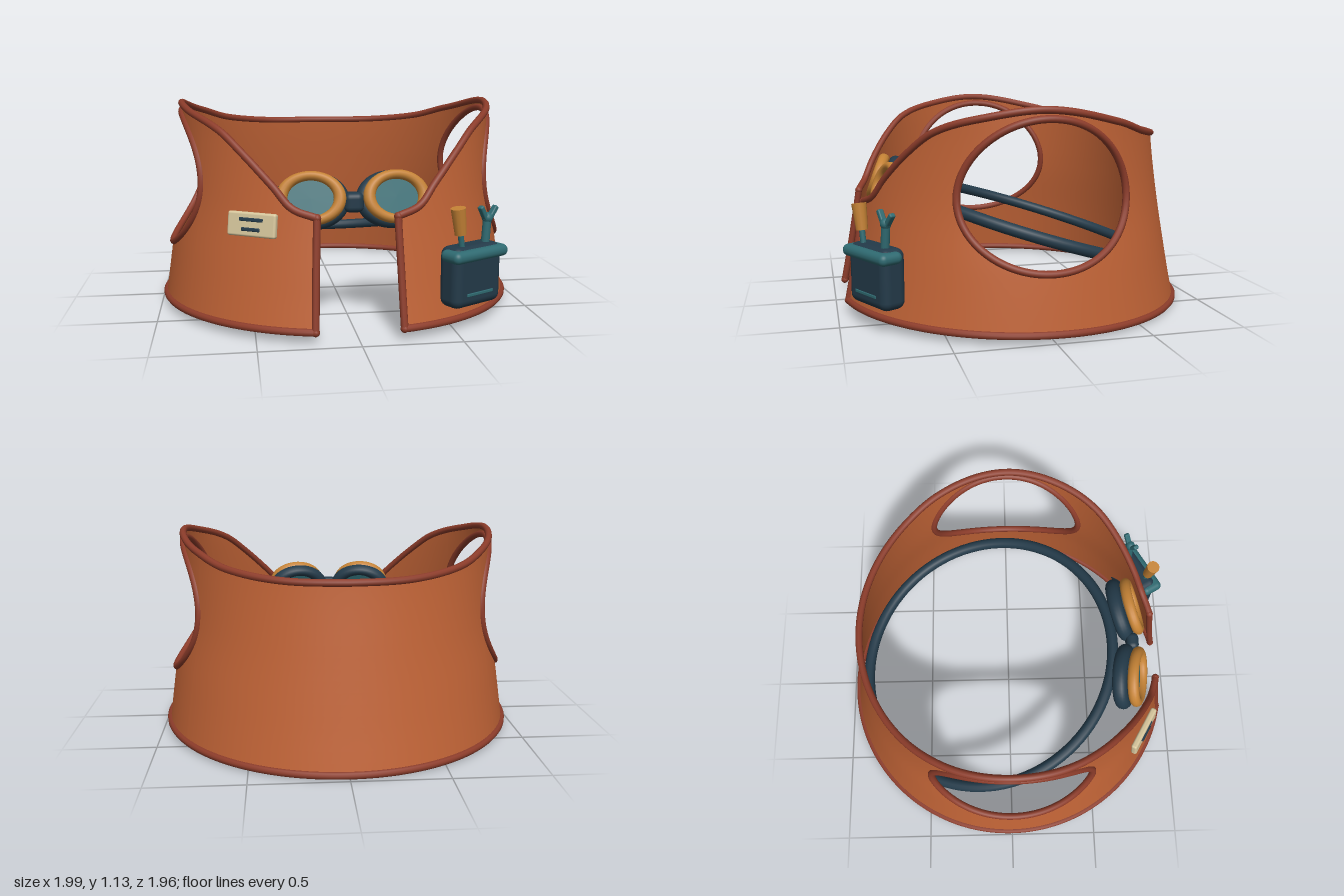
import * as THREE from 'three';
import { mergeVertices } from 'three/addons/utils/BufferGeometryUtils.js';
import { RoundedBoxGeometry } from 'three/addons/geometries/RoundedBoxGeometry.js';

const mat = (name, color, side = THREE.FrontSide) => {
  const m = new THREE.MeshStandardMaterial({ color, side });
  m.name = name;
  return m;
};

// Smooth curve through [x, y] knots
function smooth(knots) {
  const slope = (i) => {
    const a = knots[Math.max(i - 1, 0)], b = knots[Math.min(i + 1, knots.length - 1)];
    return (b[1] - a[1]) / (b[0] - a[0]);
  };
  return (x) => {
    let i = 0;
    while (i < knots.length - 2 && x > knots[i + 1][0]) i++;
    const [x0, y0] = knots[i], [x1, y1] = knots[i + 1], h = x1 - x0;
    const t = THREE.MathUtils.clamp((x - x0) / h, 0, 1), u = 1 - t;
    return y0 * (1 + 2 * t) * u * u + h * slope(i) * t * u * u
      + y1 * t * t * (3 - 2 * t) - h * slope(i + 1) * t * t * u;
  };
}

// Vest outline: half widths by height, edges by angle from the front
const radiusX = smooth([[0, 0.985], [0.33, 0.937], [0.65, 0.886], [1.12, 0.865]]);
const radiusZ = smooth([[0, 0.976], [0.25, 0.925], [0.6, 0.864], [0.95, 0.815], [1.12, 0.81]]);
const topEdge = smooth([[0.225, 0.6], [0.37, 0.645], [0.48, 0.745], [0.67, 0.89], [0.86, 1.0],
  [1.15, 1.07], [1.57, 1.113], [2.07, 1.045], [2.37, 0.985], [2.75, 0.95], [Math.PI, 0.945]]);
const bottomEdge = (a) => 0.041 + 0.02 * Math.cos(a);
const FRONT = 0.225, HOLE_C = 0.515, HOLE_Y = 0.7, HOLE_H = 0.37;
const onVest = (a, y) => new THREE.Vector3(radiusX(y) * Math.sin(a), y, radiusZ(y) * Math.cos(a));

// Columns of one half from the front opening to the centre back, split around the armhole
function halfColumns() {
  const cols = [], h0 = Math.acos(HOLE_C), h1 = Math.PI - h0;
  for (let i = 0; i < 24; i++) {
    const t = i / 24, y = THREE.MathUtils.lerp(0.33, HOLE_Y, t);
    cols.push({ a: THREE.MathUtils.lerp(FRONT, h0, t), lo: y, hi: y });
  }
  for (let i = 0; i <= 40; i++) {
    const t = (i / 40) * Math.PI, d = HOLE_H * Math.sin(t);
    cols.push({ a: Math.acos(HOLE_C * Math.cos(t)), lo: HOLE_Y - d, hi: HOLE_Y + d });
  }
  for (let i = 1; i <= 24; i++) {
    cols.push({ a: THREE.MathUtils.lerp(h1, Math.PI, i / 24), lo: HOLE_Y, hi: HOLE_Y });
  }
  return cols;
}

function vestGeometry(cols) {
  const pos = [], index = [], rows = 12;
  for (const upper of [false, true]) {
    const base = pos.length / 3;
    cols.forEach((c, i) => {
      const a = Math.abs(c.a);
      const y0 = upper ? c.hi : bottomEdge(a), y1 = upper ? topEdge(a) : c.lo;
      for (let j = 0; j <= rows; j++) {
        pos.push(...onVest(c.a, THREE.MathUtils.lerp(y0, y1, j / rows)).toArray());
        if (i && j) {
          const p = base + i * (rows + 1) + j, q = p - rows - 1;
          index.push(q - 1, q, p - 1, q, p, p - 1);
        }
      }
    });
  }
  let g = new THREE.BufferGeometry();
  g.setAttribute('position', new THREE.Float32BufferAttribute(pos, 3));
  g.setIndex(index);
  g = mergeVertices(g, 1e-4);
  g.computeVertexNormals();
  return g;
}

export function createModel() {
  const leather = mat('leather', 0xc06336, THREE.DoubleSide);
  const piping = mat('piping', 0x8c3c2a);
  const navy = mat('navy', 0x233a49);
  const teal = mat('teal', 0x2f6a71);
  const amber = mat('amber', 0xc48235);
  const cream = mat('cream', 0xd6c69c);

  const model = new THREE.Group();
  model.name = 'workVest';
  const add = (parent, name, geometry, material, x = 0, y = 0, z = 0) => {
    const m = new THREE.Mesh(geometry, material);
    m.name = name;
    m.position.set(x, y, z);
    parent.add(m);
    return m;
  };
  const group = (name, x, y, z) => {
    const g = new THREE.Group();
    g.name = name;
    g.position.set(x, y, z);
    model.add(g);
    return g;
  };
  const box = (w, h, d, r) => new RoundedBoxGeometry(w, h, d, 4, r);

  // Leather body
  const half = halfColumns();
  const cols = half.map((c) => ({ ...c, a: -c.a })).concat(half.slice(0, -1).reverse());
  add(model, 'vestBody', vestGeometry(cols), leather);

  // Piping along every edge
  const pipe = (name, points, closed = false) => add(model, name, new THREE.TubeGeometry(
    new THREE.CatmullRomCurve3(points, closed), points.length * 2, 0.019, 10, closed), piping);
  pipe('necklinePiping', cols.map((c) => onVest(c.a, topEdge(Math.abs(c.a)))));
  pipe('hemPiping', cols.map((c) => onVest(c.a, bottomEdge(c.a))));
  for (const s of [-1, 1]) {
    const y0 = bottomEdge(FRONT), y1 = topEdge(FRONT), edge = [], hole = [];
    for (let i = 0; i <= 10; i++) edge.push(onVest(s * FRONT, THREE.MathUtils.lerp(y0, y1, i / 10)));
    for (let i = 0; i < 56; i++) {
      const t = (i / 56) * Math.PI * 2;
      hole.push(onVest(s * Math.acos(HOLE_C * Math.cos(t)), HOLE_Y + HOLE_H * Math.sin(t)));
    }
    pipe('frontEdgePiping', edge);
    pipe('armholePiping', hole, true);
    for (const p of [edge[0], edge[10]]) {
      add(model, 'pipingCorner', new THREE.SphereGeometry(0.021, 12, 8), piping, p.x, p.y, p.z);
    }
  }

  // Goggle strap: a ring sloping down to the back
  const strap = add(model, 'goggleStrap', new THREE.TorusGeometry(0.775, 0.032, 14, 96), navy, 0, 0.423, -0.14);
  strap.rotation.x = Math.PI / 2 - 0.3;

  // Goggle cups, turned outward and tipped up
  for (const s of [-1, 1]) {
    const eye = group(s > 0 ? 'leftGoggle' : 'rightGoggle', s * 0.21, 0.662, 0.685);
    eye.rotation.set(-0.35, s * 0.16, 0, 'YXZ');
    eye.scale.y = 0.78;
    add(eye, 'goggleCushion', new THREE.TorusGeometry(0.15, 0.042, 14, 48), navy, 0, 0, -0.03);
    add(eye, 'goggleRim', new THREE.TorusGeometry(0.145, 0.031, 14, 48), amber, 0, 0, 0.045);
    const lens = add(eye, 'lens', new THREE.CylinderGeometry(0.14, 0.14, 0.02, 40), teal, 0, 0, 0.03);
    lens.rotation.x = Math.PI / 2;
  }
  add(model, 'goggleBridge', box(0.1, 0.1, 0.07, 0.03), navy, 0, 0.65, 0.715);

  // Tool pocket
  const pocket = group('toolPocket', 0.58, 0.29, 0.81);
  pocket.rotation.y = 0.5;
  add(pocket, 'pocketBody', box(0.325, 0.31, 0.14, 0.045), navy);
  add(pocket, 'pocketBand', box(0.37, 0.062, 0.13, 0.03), teal, 0, 0.112, 0.028);
  add(pocket, 'pocketStitch', box(0.18, 0.016, 0.008, 0.0035), teal, 0, -0.085, 0.071);

  // Screwdriver
  const driver = new THREE.Group();
  driver.name = 'screwdriver';
  driver.position.set(-0.085, 0.15, 0.02);
  driver.rotation.z = 0.16;
  pocket.add(driver);
  add(driver, 'screwdriverShaft', new THREE.CylinderGeometry(0.015, 0.015, 0.12, 12), teal, 0, 0.03, 0);
  add(driver, 'screwdriverHandle', new THREE.CylinderGeometry(0.038, 0.03, 0.135, 12), amber, 0, 0.135, 0);

  // Wrench with a forked head
  const wrench = new THREE.Group();
  wrench.name = 'wrench';
  wrench.position.set(0.09, 0.14, 0.01);
  wrench.rotation.z = -0.08;
  pocket.add(wrench);
  add(wrench, 'wrenchHandle', new THREE.CylinderGeometry(0.022, 0.022, 0.14, 12), teal, 0, 0.06, 0);
  add(wrench, 'wrenchNeck', new THREE.SphereGeometry(0.028, 14, 10), teal, 0, 0.135, 0);
  for (const s of [-1, 1]) {
    const jaw = add(wrench, 'wrenchJaw', box(0.026, 0.075, 0.032, 0.008), teal, s * 0.035, 0.163, 0);
    jaw.rotation.z = -s * 0.6;
  }

  // Name plate with two dark bars
  const plate = group('chestPlate', -0.505, 0.56, 0.757);
  plate.rotation.set(-0.14, -0.54, 0, 'YXZ');
  add(plate, 'plateBase', box(0.265, 0.12, 0.034, 0.012), cream);
  add(plate, 'upperBar', box(0.13, 0.018, 0.009, 0.004), navy, 0, 0.024, 0.018);
  add(plate, 'lowerBar', box(0.1, 0.018, 0.009, 0.004), navy, 0, -0.024, 0.018);

  return model;
}
